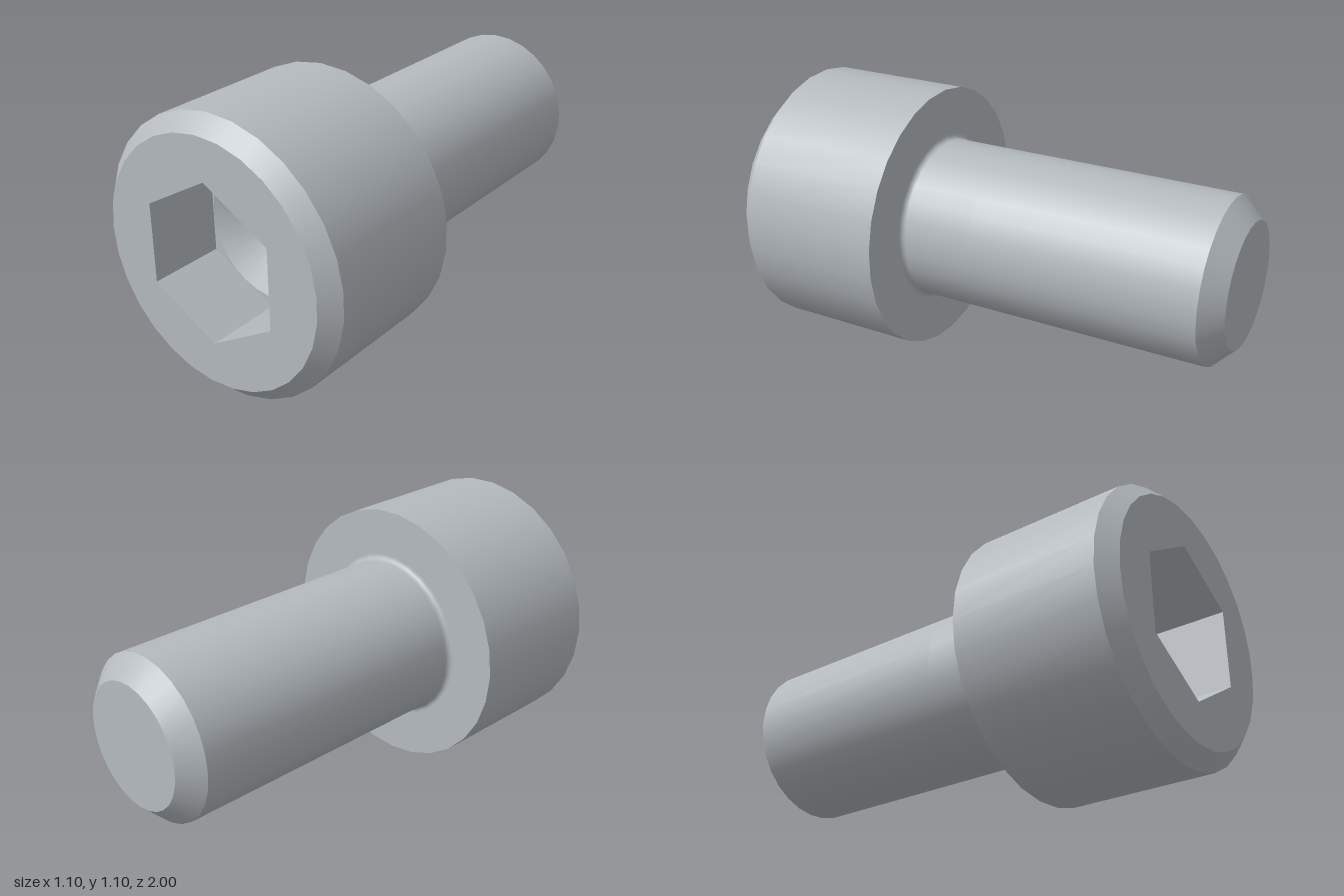
import * as THREE from 'three';

const SIDES = 29;              // facets around the round parts
const AXIS_Y = 0.553;          // height of the bolt's axis
const HEX_R = 0.32;            // socket, centre to corner
const BORE_R = 0.277;          // socket, centre to flat
const FACE_R = 0.488;          // flat front of the head
const FLOOR_Z = 0.69;          // bottom of the hex socket

export function createModel() {
  const steel = new THREE.MeshStandardMaterial({ color: 0xb4babf });
  steel.name = 'steel';
  const bolt = new THREE.Group();
  bolt.name = 'socketHeadBolt';
  bolt.position.y = AXIS_Y;

  const add = (name, geometry) => {
    const mesh = new THREE.Mesh(geometry, steel);
    mesh.name = name;
    bolt.add(mesh);
  };

  // Surface of revolution around z from [radius, z] points
  const turned = (points, sides = SIDES) =>
    new THREE.LatheGeometry(points.map(([r, z]) => new THREE.Vector2(r, z)), sides, sides === 6 ? 0 : -Math.PI / 2)
      .rotateX(Math.PI / 2);

  const ring = (r, sides, start) => Array.from({ length: sides }, (_, i) => {
    const a = start + (i / sides) * Math.PI * 2;
    return new THREE.Vector2(r * Math.cos(a), r * Math.sin(a));
  });

  // Flat plate facing +z with a hole in it
  const plate = (outer, hole, z) => {
    const shape = new THREE.Shape(outer);
    shape.holes.push(new THREE.Path(hole));
    return new THREE.ShapeGeometry(shape).translate(0, 0, z);
  };

  // Shank with chamfered tip and a small fillet under the head
  add('tipFace', turned([[0, -1], [0.252, -1]]));
  add('tipChamfer', turned([[0.252, -1], [0.334, -0.92]]));
  const shank = [[0.334, -0.92], [0.334, 0.03], [0.334, 0.3]];
  for (let i = 0; i <= 6; i++) {
    const a = (i / 6) * Math.PI / 2;
    shank.push([0.357 - 0.023 * Math.cos(a), 0.31 + 0.023 * Math.sin(a)]);
  }
  add('shank', turned(shank));

  // Head
  add('headUnderside', turned([[0.357, 0.333], [0.55, 0.333]]));
  add('headSide', turned([[0.55, 0.333], [0.55, 0.937]]));
  add('headChamfer', turned([[0.55, 0.937], [FACE_R, 1]]));
  const hex = ring(HEX_R, 6, Math.PI / 2);
  add('headFace', plate(ring(FACE_R, SIDES, Math.PI), hex, 1));

  // Hex socket with a drilled, conical bottom
  const walls = turned([[HEX_R, 1], [HEX_R, FLOOR_Z]], 6).toNonIndexed();
  walls.computeVertexNormals();
  add('socketWalls', walls);
  add('socketFloor', plate(hex, ring(BORE_R, SIDES, Math.PI), FLOOR_Z));
  add('socketCone', turned([[BORE_R, FLOOR_Z], [0, FLOOR_Z - 0.16]]));

  const model = new THREE.Group();
  model.name = 'bolt';
  model.add(bolt);
  return model;
}
